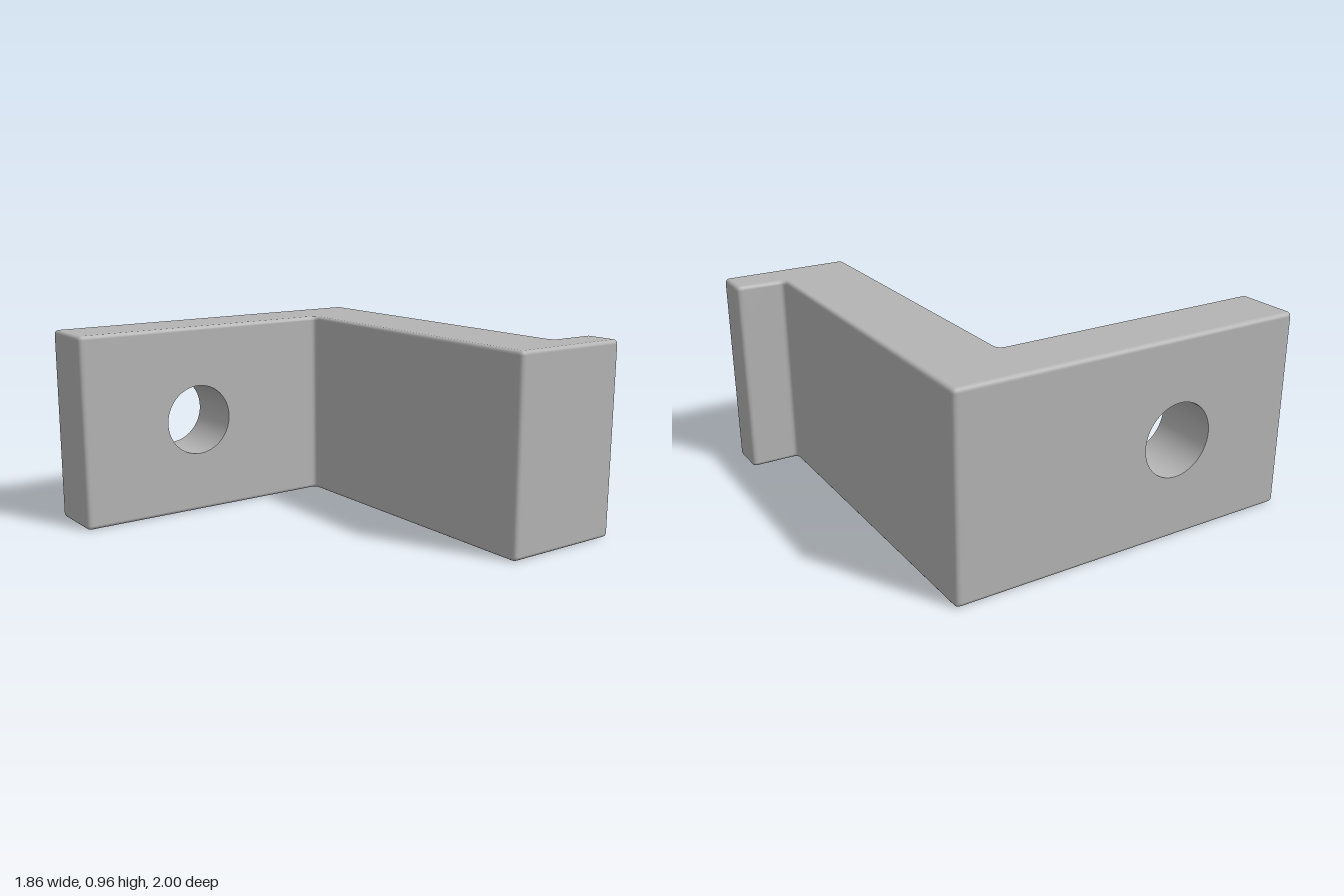
import * as THREE from 'three';
import { mergeVertices } from 'three/addons/utils/BufferGeometryUtils.js';

const H = 0.96;              // height
const R = 0.028;             // plan corner radius
const B = 0.02;              // top and bottom edge rounding
const OUT = -0.93, IN = -0.62; // outer and inner faces of the long leg
const BACK = -0.76, FRONT = -0.365;
const HOLE = { z: 0.365, y: 0.48, r: 0.178 };

// Closed outline with every corner rounded
function roundedShape(points, radius) {
  const pts = points.map(([x, z]) => new THREE.Vector2(x, -z));
  const shape = new THREE.Shape();
  pts.forEach((p, i) => {
    const prev = pts[(i + pts.length - 1) % pts.length];
    const next = pts[(i + 1) % pts.length];
    const a = prev.clone().sub(p).setLength(radius).add(p);
    const b = next.clone().sub(p).setLength(radius).add(p);
    if (i === 0) shape.moveTo(a.x, a.y);
    else shape.lineTo(a.x, a.y);
    shape.quadraticCurveTo(p.x, p.y, b.x, b.y);
  });
  shape.closePath();
  return shape;
}

// Soft-edged extruded bracket, leaving out the two flat walls pierced by the hole
function bracketGeometry() {
  const shape = roundedShape([
    [OUT, BACK], [OUT, 1], [IN, 1], [IN, FRONT],
    [0.93, FRONT], [0.93, -1], [0.74, -1], [0.74, BACK],
  ], R);
  let geo = new THREE.ExtrudeGeometry(shape, {
    depth: H - 2 * B, curveSegments: 5, bevelEnabled: true,
    bevelSize: B, bevelOffset: -B, bevelThickness: B, bevelSegments: 4,
  });
  geo.rotateX(-Math.PI / 2).translate(0, B, 0);
  geo.deleteAttribute('uv');
  geo.deleteAttribute('normal');
  geo.clearGroups();
  geo = mergeVertices(geo, 1e-5);
  geo.computeVertexNormals();

  const pos = geo.attributes.position, index = geo.index.array, kept = [];
  for (let i = 0; i < index.length; i += 3) {
    const tri = [index[i], index[i + 1], index[i + 2]];
    const onWall = [OUT, IN].some(x => tri.every(v => Math.abs(pos.getX(v) - x) < 1e-4));
    if (!onWall) kept.push(...tri);
  }
  geo.setIndex(kept);
  return geo;
}

// Flat wall with the round hole, facing +x (side 1) or -x (side -1)
function wallGeometry(x, zMin, zMax, side) {
  const u0 = -side * zMin, u1 = -side * zMax;
  const shape = new THREE.Shape();
  shape.moveTo(u0, B);
  shape.lineTo(u1, B);
  shape.lineTo(u1, H - B);
  shape.lineTo(u0, H - B);
  shape.closePath();
  const hole = new THREE.Path();
  hole.absarc(-side * HOLE.z, HOLE.y, HOLE.r, 0, Math.PI * 2, true);
  shape.holes.push(hole);
  return new THREE.ShapeGeometry(shape, 32).rotateY(side * Math.PI / 2).translate(x, 0, 0);
}

export function createModel() {
  const group = new THREE.Group();
  group.name = 'bracket';
  const grey = new THREE.MeshStandardMaterial({ color: 0xb4b4b4 });
  grey.name = 'grey';

  const add = (name, geometry) => {
    const mesh = new THREE.Mesh(geometry, grey);
    mesh.name = name;
    group.add(mesh);
  };

  add('bracketBody', bracketGeometry());
  add('outerWall', wallGeometry(OUT, BACK + R, 1 - R, -1));
  add('innerWall', wallGeometry(IN, FRONT + R, 1 - R, 1));

  // Inward-facing bore through the long leg
  const bore = new THREE.LatheGeometry(
    [new THREE.Vector2(HOLE.r, IN - OUT), new THREE.Vector2(HOLE.r, 0)], 64);
  bore.rotateZ(Math.PI / 2).translate(IN, HOLE.y, HOLE.z);
  add('boltHole', bore);

  return group;
}
